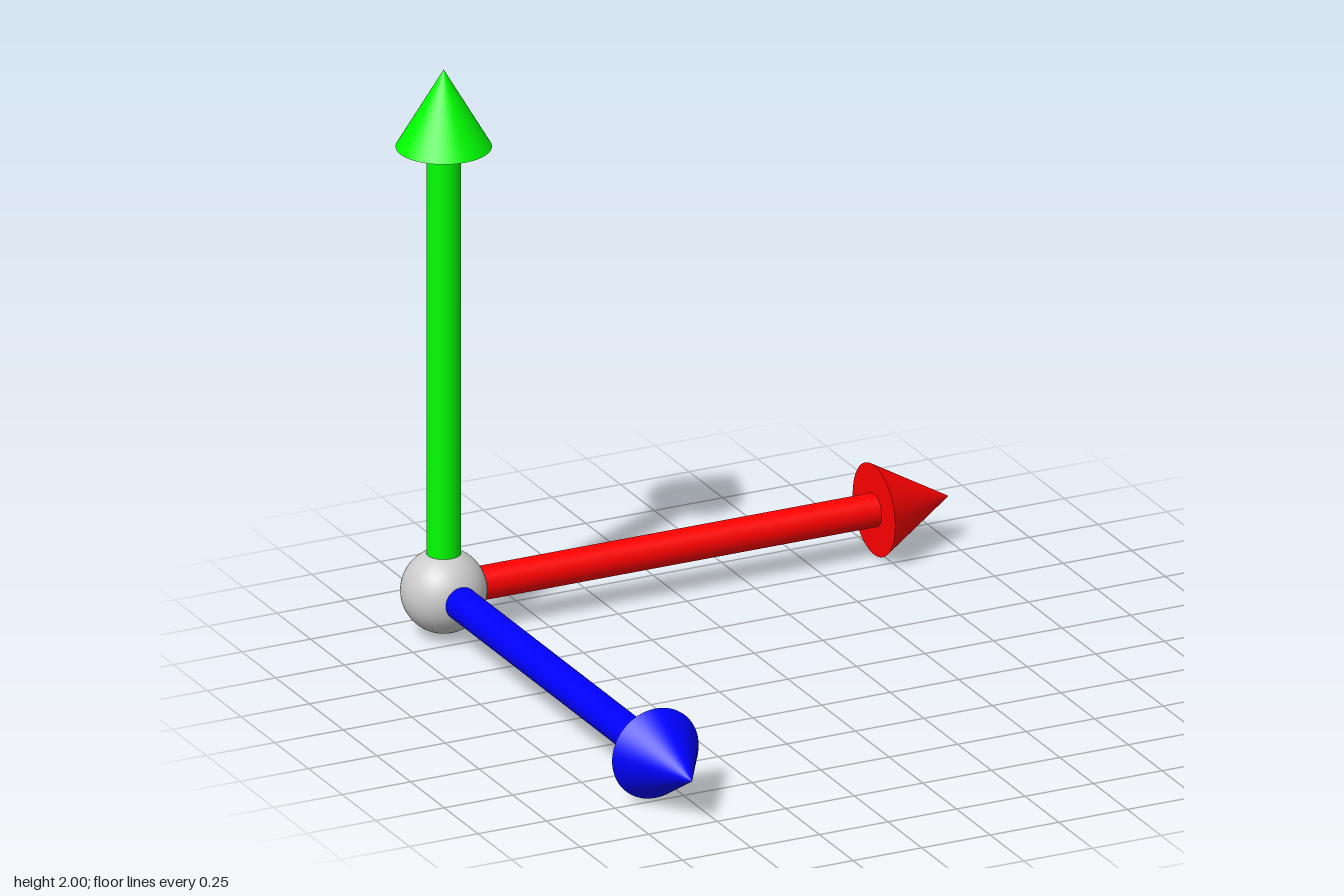
import * as THREE from 'three';

const ORIGIN = new THREE.Vector3(-0.842, 0.158, -0.842);
const LENGTH = 1.842;       // origin to arrow tip
const HEAD_LENGTH = 0.272;
const HEAD_RADIUS = 0.158;
const SHAFT_RADIUS = 0.057;
const HUB_RADIUS = 0.143;

// An arrow along +y from its own origin: round shaft and conical head
function makeArrow(name, color) {
  const arrow = new THREE.Group();
  arrow.name = name;
  const material = new THREE.MeshStandardMaterial({ color });

  const shaftLength = LENGTH - HEAD_LENGTH;
  const shaft = new THREE.Mesh(
    new THREE.CylinderGeometry(SHAFT_RADIUS, SHAFT_RADIUS, shaftLength, 48), material);
  shaft.name = name + 'Shaft';
  shaft.position.y = shaftLength / 2;

  const head = new THREE.Mesh(
    new THREE.ConeGeometry(HEAD_RADIUS, HEAD_LENGTH, 64), material);
  head.name = name + 'Head';
  head.position.y = LENGTH - HEAD_LENGTH / 2;

  arrow.add(shaft, head);
  return arrow;
}

export function createModel() {
  const model = new THREE.Group();
  model.name = 'axisTripod';

  // Grey ball where the three arrows meet
  const hub = new THREE.Mesh(
    new THREE.SphereGeometry(HUB_RADIUS, 48, 32),
    new THREE.MeshStandardMaterial({ color: 0xcccccc }));
  hub.name = 'hub';
  hub.position.copy(ORIGIN);
  model.add(hub);

  // One arrow per axis
  const up = new THREE.Vector3(0, 1, 0);
  const axes = [
    ['xArrow', 0xff0000, new THREE.Vector3(1, 0, 0)],
    ['yArrow', 0x00ff00, up],
    ['zArrow', 0x0000ff, new THREE.Vector3(0, 0, 1)],
  ];
  for (const [name, color, direction] of axes) {
    const arrow = makeArrow(name, color);
    arrow.quaternion.setFromUnitVectors(up, direction);
    arrow.position.copy(ORIGIN);
    model.add(arrow);
  }
  return model;
}
